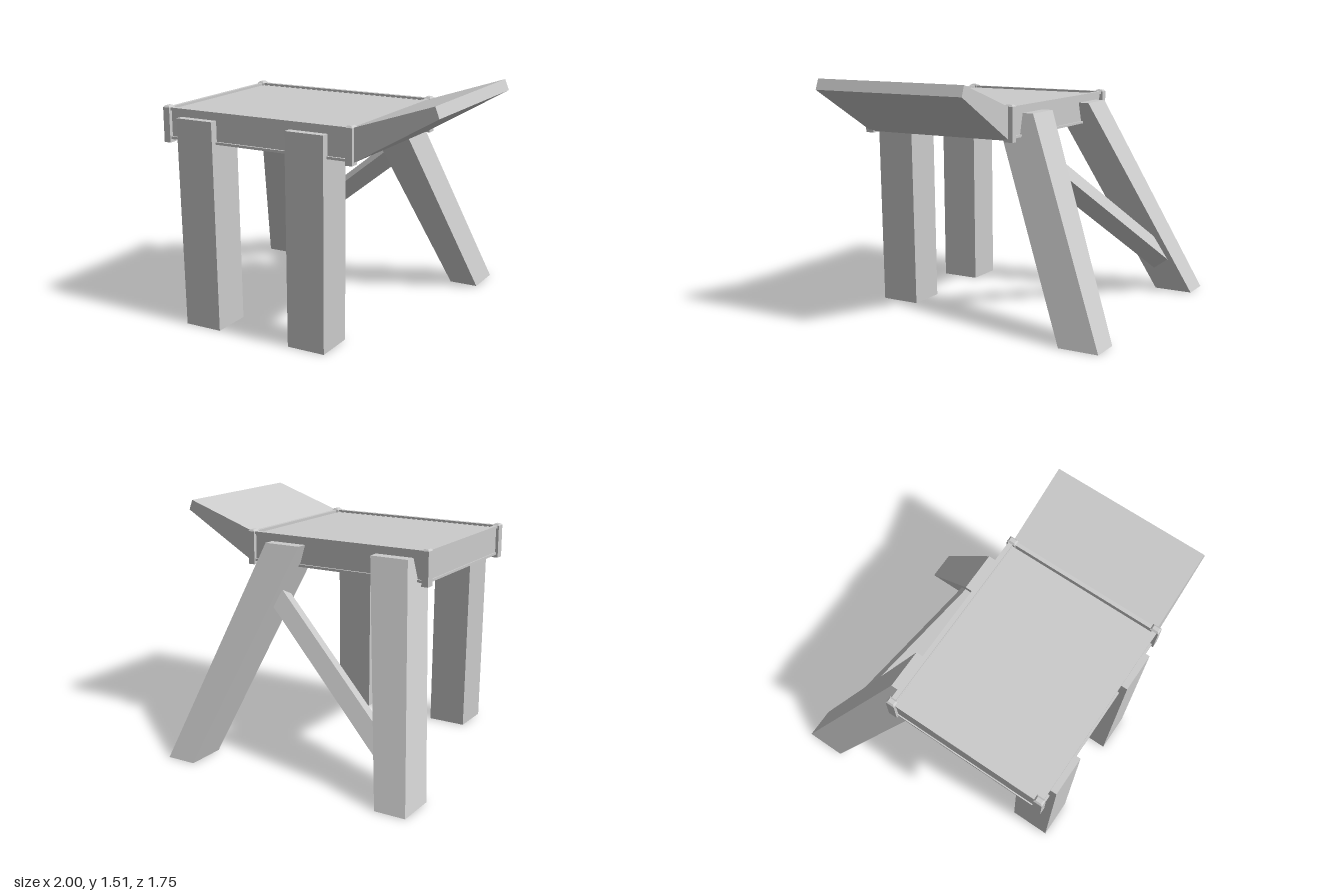
import * as THREE from 'three';

const material = new THREE.MeshStandardMaterial({ color: 0xcccccc, flatShading: true });

// Six-sided solid: the rule maps box corner signs (-1 or 1) to positions.
// The rule must keep the axes' handedness.
function solid(name, rule) {
  const geometry = new THREE.BoxGeometry(2, 2, 2);
  const p = geometry.attributes.position;
  for (let i = 0; i < p.count; i++) {
    p.setXYZ(i, ...rule(Math.sign(p.getX(i)), Math.sign(p.getY(i)), Math.sign(p.getZ(i))));
  }
  geometry.computeVertexNormals();
  const mesh = new THREE.Mesh(geometry, material);
  mesh.name = name;
  return mesh;
}

// Axis-aligned block given by its ranges.
const block = (name, x, y, z) =>
  solid(name, (a, b, c) => [x[a > 0 ? 1 : 0], y[b > 0 ? 1 : 0], z[c > 0 ? 1 : 0]]);

// Leg between a foot rectangle on the ground and a head rectangle: [x0, x1, z0, z1].
const leg = (name, foot, head, height) =>
  solid(name, (a, b, c) => {
    const r = b > 0 ? head : foot;
    return [r[a > 0 ? 1 : 0], b > 0 ? height : 0, r[c > 0 ? 3 : 2]];
  });

export function createModel() {
  const model = new THREE.Group();

  // Front legs, upright
  model.add(leg('frontRightLeg', [-0.655, -0.41, 0.61, 0.865], [-0.665, -0.415, 0.62, 0.875], 1.3));
  model.add(leg('frontLeftLeg', [0.08, 0.325, 0.61, 0.865], [0.085, 0.335, 0.62, 0.875], 1.3));

  // Back legs, splayed outwards and backwards
  model.add(leg('backRightLeg', [-1, -0.805, -0.875, -0.62], [-0.67, -0.42, -0.27, -0.01], 1.3));
  model.add(leg('backLeftLeg', [0.48, 0.67, -0.875, -0.62], [0.085, 0.335, -0.27, -0.01], 1.3));

  // Diagonal brace, its section tilted with the back legs
  model.add(solid('backBrace', (a, b, c) => {
    const x = a > 0 ? 0.25 : -0.77;
    const run = x + 0.41;
    return [
      x,
      0.508 + run * 0.75 + b * 0.0625 - c * 0.03,
      -0.52 + run * 0.36 + b * 0.033 + c * 0.056,
    ];
  }));

  // Platform: top panel and a frame of channel rails
  const platform = new THREE.Group();
  platform.name = 'platform';
  model.add(platform);
  platform.add(block('topPanel', [-0.745, 0.455], [1.305, 1.338], [-0.19, 0.805]));

  const midZ = 0.3125, midX = -0.14;
  for (const s of [-1, 1]) {
    const across = (near, far) => [midZ + s * near, midZ + s * far].sort((m, n) => m - n);
    const along = (near, far) => [midX + s * near, midX + s * far].sort((m, n) => m - n);
    const side = s > 0 ? 'front' : 'back';
    const end = s > 0 ? 'left' : 'right';
    // long rails
    platform.add(block(side + 'RailWeb', [-0.76, 0.48], [1.165, 1.34], across(0.49, 0.512)));
    platform.add(block(side + 'RailRim', [-0.76, 0.48], [1.335, 1.352], across(0.495, 0.525)));
    platform.add(block(side + 'RailFoot', [-0.76, 0.48], [1.16, 1.175], across(0.44, 0.525)));
    // end rails
    platform.add(block(end + 'RailWeb', along(0.605, 0.622), [1.165, 1.34], [-0.2, 0.825]));
    platform.add(block(end + 'RailRim', along(0.605, 0.63), [1.335, 1.352], [-0.2, 0.825]));
    platform.add(block(end + 'RailFoot', along(0.55, 0.63), [1.16, 1.175], [-0.2, 0.825]));

    // corner posts with chamfered caps
    for (const t of [-1, 1]) {
      const x = midX + s * 0.619, z = midZ + t * 0.508;
      platform.add(block('cornerPost', [x - 0.022, x + 0.022], [1.14, 1.352], [z - 0.029, z + 0.029]));
      platform.add(solid('cornerPostCap', (a, b, c) => {
        const inset = b > 0 ? 0.01 : 0;
        return [x + a * (0.022 - inset), b > 0 ? 1.363 : 1.352, z + c * (0.029 - inset)];
      }));
    }
  }

  // Sloping wedge at the end of the platform
  model.add(solid('endWedge', (a, b, c) => {
    const z = c > 0 ? 0.825 : -0.195;
    if (a > 0) return b > 0 ? [0.975, 1.51, z] : [1, 1.445, z];
    return [0.485, b > 0 ? 1.347 : 1.148, z];
  }));

  return model;
}
